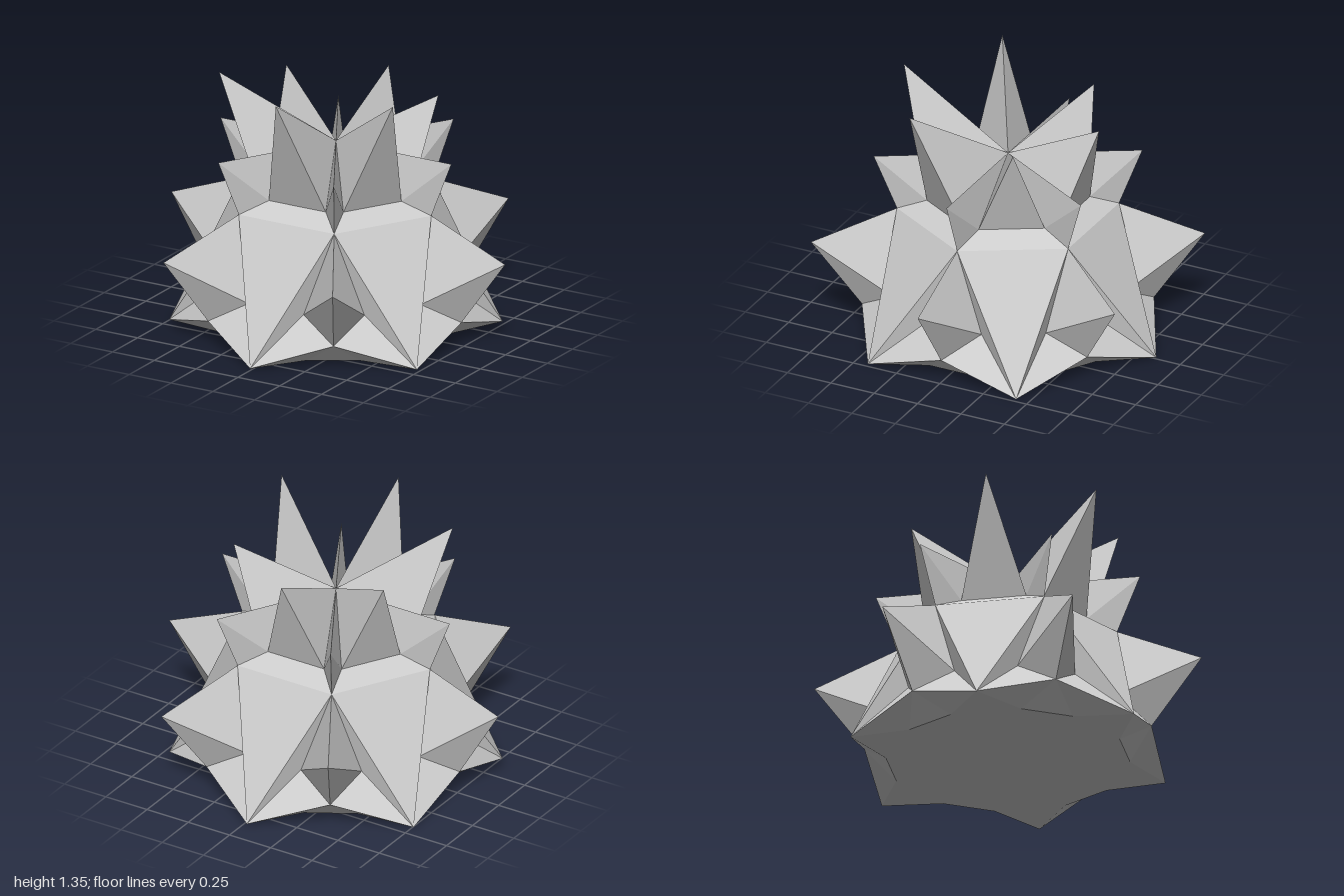
import * as THREE from 'three';

// Point given by a direction in degrees (from +x towards +z), distance outward, sideways shift and height.
function at(deg, out, side, y) {
  const a = THREE.MathUtils.degToRad(deg);
  return [out * Math.cos(a) - side * Math.sin(a), y, out * Math.sin(a) + side * Math.cos(a)];
}

// Flat shaded mesh from a list of triangles.
function mesh(name, faces) {
  const geometry = new THREE.BufferGeometry();
  geometry.setAttribute('position', new THREE.Float32BufferAttribute(faces.flat(2), 3));
  geometry.computeVertexNormals();
  const material = new THREE.MeshStandardMaterial({ color: 0xcccccc, flatShading: true });
  const m = new THREE.Mesh(geometry, material);
  m.name = name;
  return m;
}

export function createModel() {
  const group = new THREE.Group();
  group.name = 'spikedDome';
  const apex = [0, 0.98, 0], centre = [0, 0, 0];
  const foot = (deg) => at(deg, 0.855, 0, 0);          // corners of the base
  const shoulder = (deg) => at(deg, 0.57, 0, 0.675);   // corners of the upper ring
  const panels = [], lowerSpikes = [], upperSpikes = [], fins = [], ledges = [], arches = [], base = [];

  for (let k = 0; k < 6; k++) {
    const low = k * 60, high = low + 30;
    const backSide = k >= 3;

    // flat panel hanging between two shoulders and a foot
    panels.push([shoulder(high + 30), foot(high), shoulder(high - 30)]);

    // one spike per side of the hexagon
    const tip = k === 3 ? at(low, 0.985, 0, 0.52) : at(low, 1.012, 0, 0.49);
    const top = shoulder(low), arch = at(low, 0.75, 0, 0.127);
    const topTip = backSide ? at(high, 0.525, 0, 1.23) : at(high, 0.6, 0, 1.35);
    const inner = (s) => at(low, 0.6, s * 0.156, 0.245);
    const notch = (s) => at(low, 0.61, s * 0.14, 0);
    const valley = (s) => at(high, 0.385, s * 0.17, 0.74);

    for (const s of [1, -1]) {
      const add = (list, a, b, c) => list.push(s > 0 ? [a, b, c] : [a, c, b]);
      const corner = foot(low + s * 30), S = inner(s), P = notch(s);
      add(lowerSpikes, tip, top, S);
      add(lowerSpikes, tip, S, arch);
      add(arches, top, corner, S);
      add(arches, corner, arch, S);
      add(arches, corner, P, arch);
      add(base, centre, P, corner);

      // upper spike sides and the fins that separate them
      const W = valley(s), V = shoulder(high + s * 30);
      const finTip = at(high + s * 30, 0.69, 0, 0.978);
      add(upperSpikes, topTip, apex, W);
      add(fins, apex, finTip, W);
      add(fins, finTip, V, W);
    }
    arches.push([notch(1), notch(-1), arch]);
    base.push([centre, notch(-1), notch(1)]);
    upperSpikes.push([topTip, valley(1), valley(-1)]);

    // sloping ledge in front of each upper spike
    const left = shoulder(high + 30), right = shoulder(high - 30);
    ledges.push([left, right, valley(-1)], [left, valley(-1), valley(1)]);
  }

  group.add(
    mesh('sidePanels', panels),
    mesh('lowerSpikes', lowerSpikes),
    mesh('lowerArches', arches),
    mesh('upperSpikes', upperSpikes),
    mesh('upperFins', fins),
    mesh('ledges', ledges),
    mesh('base', base),
  );
  group.children.forEach((m) => { m.position.x = -0.014; });
  return group;
}
